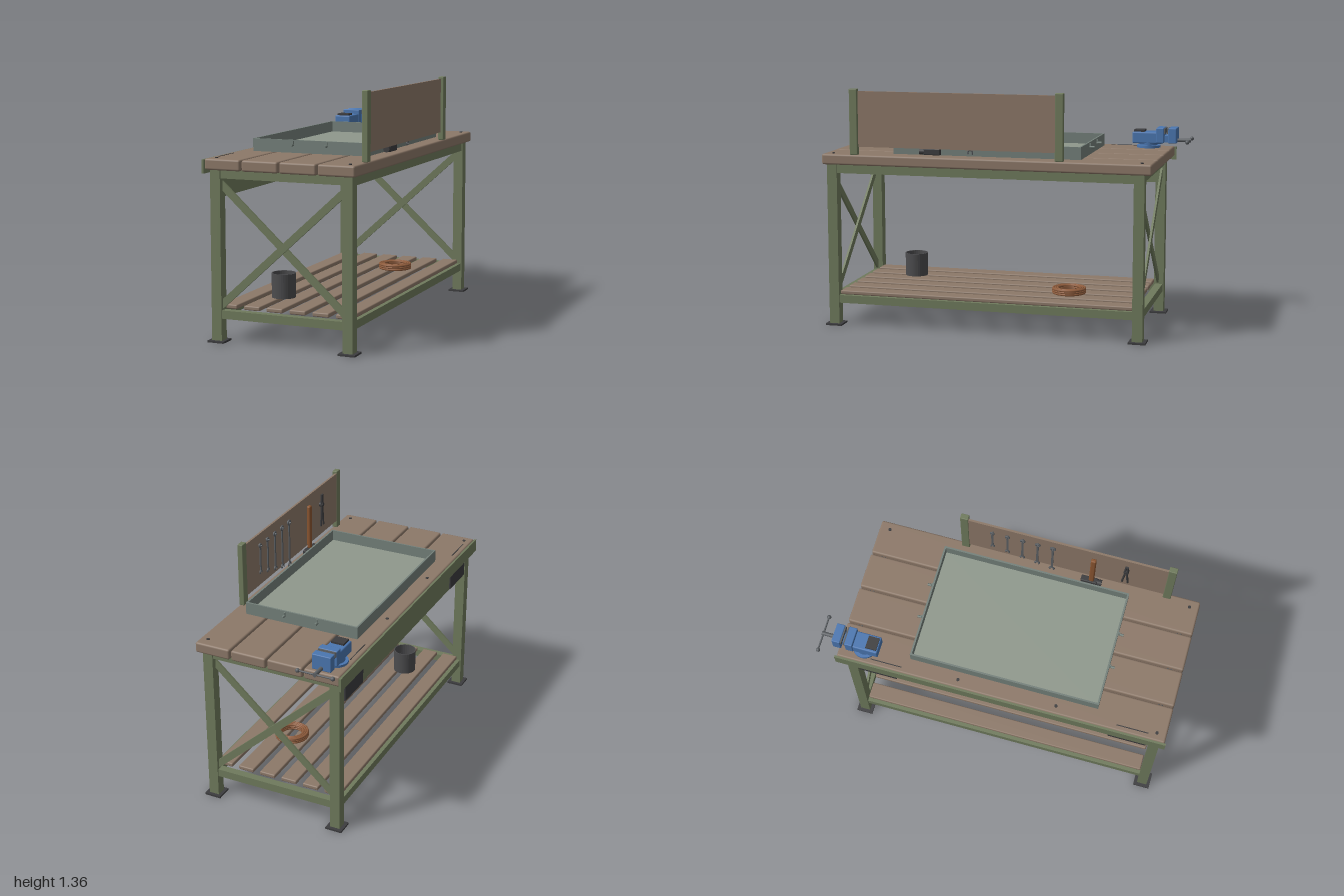
import * as THREE from 'three';
import { RoundedBoxGeometry } from 'three/addons/geometries/RoundedBoxGeometry.js';

const paint = (color, side = THREE.FrontSide) => new THREE.MeshStandardMaterial({ color, side });

export function createModel() {
  const model = new THREE.Group();
  const green = paint(0x6f7a5c), wood = paint(0x8c7868), dark = paint(0x3c3c3e), steel = paint(0x5c6064);
  const blue = paint(0x4a76b0), trayWall = paint(0x74807a), trayFloor = paint(0x8f988c);
  const handleWood = paint(0x8a5530), rope = paint(0x8f5c3c), bucketGrey = paint(0x4c4c4e, THREE.DoubleSide);

  const group = (name) => {
    const g = new THREE.Group();
    g.name = name;
    model.add(g);
    return g;
  };
  const add = (parent, name, geometry, material, x = 0, y = 0, z = 0) => {
    const m = new THREE.Mesh(geometry, material);
    m.name = name;
    m.position.set(x, y, z);
    parent.add(m);
    return m;
  };
  // box given by its limits; a radius rounds the edges
  const box = (parent, name, mat, [x0, x1], [y0, y1], [z0, z1], r = 0) => {
    const s = [x1 - x0, y1 - y0, z1 - z0];
    const geo = r ? new RoundedBoxGeometry(...s, 2, r) : new THREE.BoxGeometry(...s);
    return add(parent, name, geo, mat, (x0 + x1) / 2, (y0 + y1) / 2, (z0 + z1) / 2);
  };
  // round bar between two points
  const rod = (parent, name, mat, a, b, r, sides = 16) => {
    const p = new THREE.Vector3(...a), d = new THREE.Vector3(...b).sub(p);
    const m = add(parent, name, new THREE.CylinderGeometry(r, r, d.length(), sides), mat);
    m.position.copy(p).addScaledVector(d, 0.5);
    m.quaternion.setFromUnitVectors(new THREE.Vector3(0, 1, 0), d.normalize());
    return m;
  };

  // legs, feet, end rails and cross braces
  const frame = group('frame');
  for (const z of [0.933, -0.82]) {
    for (const x of [-0.37, 0.387]) {
      box(frame, 'leg', green, [x - 0.029, x + 0.029], [0.01, 0.93], [z - 0.029, z + 0.029]);
      box(frame, 'foot', dark, [x - 0.048, x + 0.048], [0, 0.01], [z - 0.048, z + 0.048]);
    }
    box(frame, 'endTopRail', green, [-0.341, 0.358], [0.885, 0.93], [z - 0.022, z + 0.022]);
    box(frame, 'endShelfRail', green, [-0.341, 0.358], [0.13, 0.175], [z - 0.022, z + 0.022]);
    for (const s of [-1, 1]) {
      const shape = new THREE.Shape([[-0.349, 0.181], [-0.349, 0.235], [0.349, 0.87], [0.349, 0.816]]
        .map(([x, y]) => new THREE.Vector2(x * s, y)));
      const geo = new THREE.ExtrudeGeometry(shape, { depth: 0.012, bevelEnabled: false });
      add(frame, 'crossBrace', geo, green, 0.008, 0, z - 0.006 + s * 0.006);
    }
  }
  // long rails and the deep apron
  box(frame, 'sideTopRail', green, [0.365, 0.409], [0.88, 0.93], [-0.791, 0.904]);
  box(frame, 'apron', green, [-0.392, -0.355], [0.78, 0.93], [-0.791, 0.904]);
  for (const x of [-0.37, 0.387])
    box(frame, 'sideShelfRail', green, [x - 0.022, x + 0.022], [0.13, 0.175], [-0.791, 0.904]);
  for (const z of [-0.67, 0.78])
    box(frame, 'apronPlate', dark, [-0.4, -0.39], [0.785, 0.925], [z - 0.11, z + 0.11]);

  // table top
  const top = group('tableTop');
  for (let i = 0; i < 4; i++) {
    const x = -0.42 + i * 0.2165;
    box(top, 'topPlank', wood, [x, x + 0.207], [0.93, 0.99], [-0.89, 0.985], 0.011);
  }
  box(top, 'edgeStrip', green, [-0.432, -0.42], [0.91, 0.985], [-0.9, 0.992]);
  for (const z of [-0.83, -0.81, 0.9, 0.92])
    rod(top, 'tieRod', steel, [-0.4, 0.965, z], [0.4, 0.965, z], 0.004, 8);
  for (const [x, z] of [[-0.375, -0.2], [-0.375, 0.36], [-0.375, 0.93], [0.39, -0.83], [0.39, 0.93]])
    rod(top, 'bolt', dark, [x, 0.985, z], [x, 0.994, z], 0.009);
  for (const z of [-0.61, 0.795])
    box(top, 'slot', dark, [-0.392, -0.387], [0.98, 0.992], [z - 0.09, z + 0.09]);

  // shelf slats
  const shelf = group('shelf');
  for (let i = 0; i < 6; i++) {
    const x = -0.325 + i * 0.1335;
    box(shelf, 'shelfSlat', wood, [x - 0.047, x + 0.047], [0.175, 0.199], [-0.79, 0.903], 0.007);
  }

  // shallow open tray
  const tray = group('tray');
  box(tray, 'trayFloor', trayFloor, [-0.325, 0.343], [0.992, 1.0], [-0.482, 0.582]);
  for (const x of [-0.325, 0.343])
    box(tray, 'traySide', trayWall, [x - 0.005, x + 0.005], [0.992, 1.062], [-0.487, 0.587]);
  for (const [z, d] of [[-0.482, -1], [0.582, 1]]) {
    box(tray, 'trayEnd', trayWall, [-0.325, 0.343], [0.992, 1.062], [z - 0.005, z + 0.005]);
    for (const x of [-0.09, 0.108]) {
      rod(tray, 'trayPin', trayWall, [x, 1.035, z], [x, 1.035, z + d * 0.034], 0.007);
      box(tray, 'pinBracket', trayWall, [x - 0.005, x + 0.005], [1.03, 1.057], [z + d * 0.008 - 0.005, z + d * 0.008 + 0.005]);
    }
  }

  // tool board between two posts
  const board = group('toolBoard');
  for (const z of [-0.383, 0.793])
    box(board, 'boardPost', green, [0.406, 0.438], [0.99, 1.36], [z - 0.023, z + 0.023], 0.004);
  box(board, 'boardPanel', wood, [0.409, 0.421], [1.035, 1.347], [-0.362, 0.772]);

  // five spanners of growing length
  const tools = group('hangingTools');
  for (let i = 0; i < 5; i++) {
    const z = -0.22 + i * 0.0865, low = 1.12 - i * 0.025, r = 0.009 + i * 0.001;
    const spanner = new THREE.Group();
    spanner.name = 'spanner';
    tools.add(spanner);
    box(spanner, 'spannerShank', steel, [0.395, 0.401], [low + r, 1.285 - r], [z - 0.006, z + 0.006]);
    for (const [y, arc] of [[1.285, Math.PI * 2], [low, Math.PI * 1.5]]) {
      const ring = add(spanner, 'spannerEnd', new THREE.TorusGeometry(r, 0.005, 8, 20, arc), steel, 0.398, y, z);
      ring.rotation.set(-Math.PI / 4, Math.PI / 2, 0, 'XYZ');
    }
    rod(spanner, 'hook', steel, [0.385, 1.285, z], [0.41, 1.285, z], 0.004, 8);
  }
  // hammer, head down
  box(tools, 'hammerHandle', handleWood, [0.374, 0.398], [1.03, 1.3], [0.345, 0.375], 0.008);
  box(tools, 'hammerHead', dark, [0.368, 0.403], [0.998, 1.033], [0.3, 0.395], 0.005);
  rod(tools, 'hammerFace', dark, [0.386, 1.0155, 0.39], [0.386, 1.0155, 0.42], 0.018);
  // pliers
  for (const s of [-1, 1]) {
    rod(tools, 'pliersGrip', dark, [0.395, 1.23, 0.545 + s * 0.004], [0.395, 1.1, 0.545 + s * 0.016], 0.006, 10);
    rod(tools, 'pliersJaw', dark, [0.395, 1.23, 0.545 + s * 0.009], [0.395, 1.3, 0.545 + s * 0.004], 0.006, 10);
  }
  rod(tools, 'pliersPivot', dark, [0.387, 1.235, 0.545], [0.41, 1.235, 0.545], 0.014);

  // bench vice
  const vice = group('vice'), vx = -0.33;
  rod(vice, 'viceBase', blue, [vx, 0.99, -0.75], [vx, 1.003, -0.75], 0.068, 32);
  rod(vice, 'viceSwivel', blue, [vx, 1.0, -0.75], [vx, 1.03, -0.75], 0.05, 32);
  box(vice, 'viceBody', blue, [vx - 0.05, vx + 0.05], [1.015, 1.082], [-0.835, -0.66], 0.008);
  box(vice, 'viceAnvil', dark, [vx - 0.036, vx + 0.036], [1.08, 1.093], [-0.73, -0.668]);
  box(vice, 'fixedJaw', blue, [vx - 0.055, vx + 0.055], [1.02, 1.108], [-0.845, -0.8], 0.005);
  box(vice, 'movingJaw', blue, [vx - 0.055, vx + 0.055], [1.02, 1.108], [-0.918, -0.87], 0.005);
  for (const z of [-0.848, -0.867])
    box(vice, 'jawPlate', steel, [vx - 0.05, vx + 0.05], [1.075, 1.105], [z - 0.004, z + 0.004]);
  box(vice, 'viceSlide', blue, [vx - 0.03, vx + 0.03], [1.022, 1.062], [-0.9, -0.8]);
  rod(vice, 'viceScrew', steel, [vx, 1.035, -0.9], [vx, 1.035, -0.996], 0.011);
  rod(vice, 'viceHandle', steel, [vx - 0.1, 1.035, -0.988], [vx + 0.1, 1.035, -0.988], 0.005, 12);
  for (const s of [-1, 1])
    add(vice, 'handleKnob', new THREE.SphereGeometry(0.012, 16, 12), steel, vx + s * 0.1, 1.035, -0.988);

  // open bucket on the shelf
  const profile = [[0, 0], [0.066, 0], [0.067, 0.135], [0.061, 0.135], [0.06, 0.01], [0, 0.01]]
    .map(([x, y]) => new THREE.Vector2(x, y));
  const bucket = add(model, 'bucket', new THREE.LatheGeometry(profile, 32), bucketGrey, -0.137, 0.199, 0.615);
  bucket.geometry = bucket.geometry.toNonIndexed();
  bucket.geometry.computeVertexNormals();

  // coil of rope
  const coil = group('ropeCoil');
  for (let layer = 0; layer < 3; layer++)
    for (let ring = 0; ring < 3; ring++) {
      const t = add(coil, 'ropeTurn', new THREE.TorusGeometry(0.09 - ring * 0.012, 0.007, 8, 40), rope,
        0.133, 0.206 + layer * 0.011, -0.38);
      t.rotation.x = Math.PI / 2;
    }
  return model;
}
